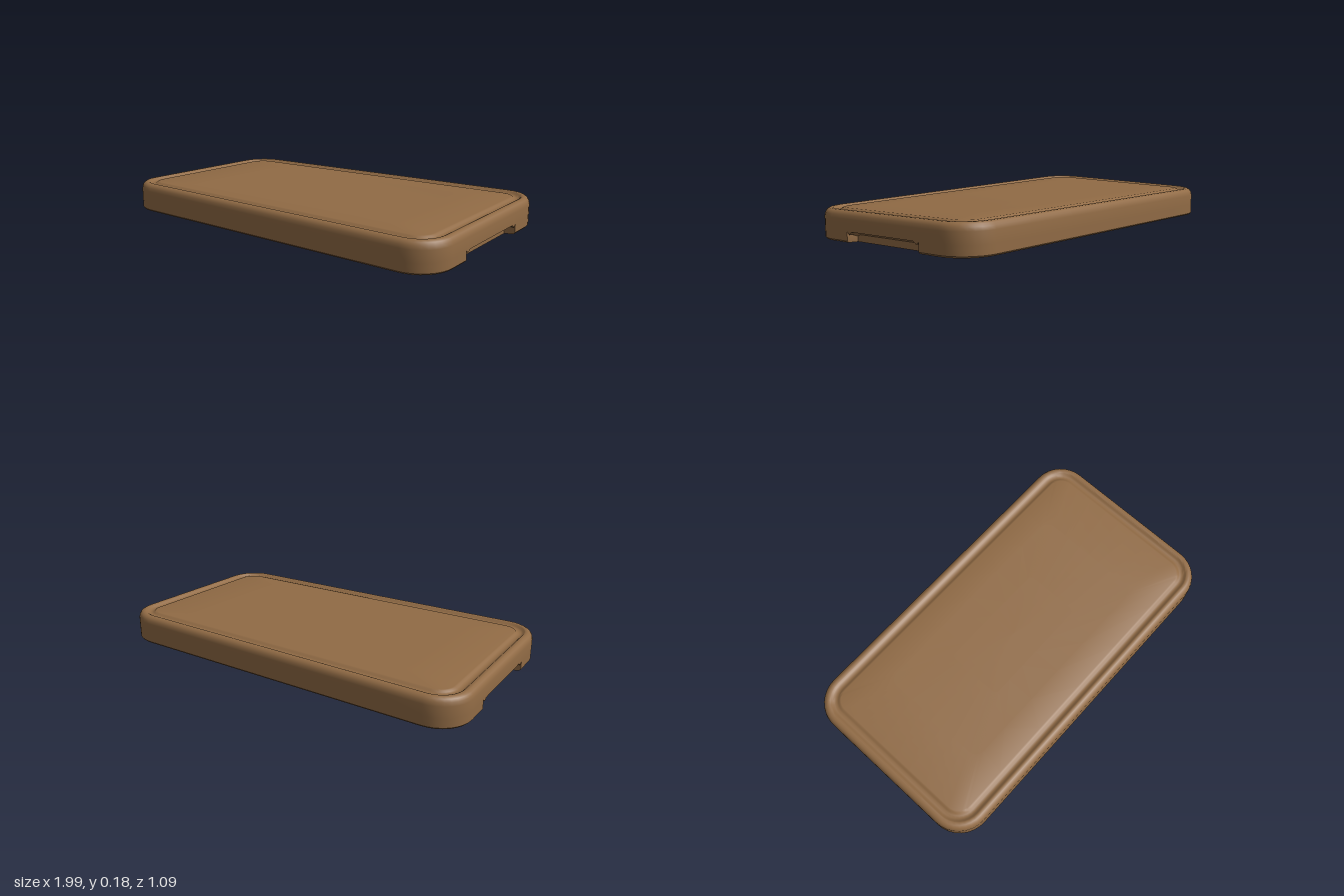
import * as THREE from 'three';
import { toCreasedNormals } from 'three/addons/utils/BufferGeometryUtils.js';

const HALF_X = 0.995, HALF_Z = 0.543, R = 0.17;
const CX = HALF_X - R, CZ = HALF_Z - R;

// Outline of the board: each point is a base position plus an outward direction
function outline() {
  const pts = [];
  const endZ = [-0.31, -0.25, -0.235, -0.215, -0.1, 0, 0.1, 0.215, 0.235, 0.25, 0.31];
  const sideX = [0.6, 0.3, 0, -0.3, -0.6];
  const corner = (sx, sz, start) => {
    for (let i = 0; i <= 8; i++) {
      const a = start + (i / 8) * Math.PI / 2;
      pts.push({ cx: sx * CX, cz: sz * CZ, nx: Math.cos(a), nz: Math.sin(a) });
    }
  };
  for (const s of [1, -1]) {
    endZ.forEach(z => pts.push({ cx: s * CX, cz: s * z, nx: s, nz: 0, end: true }));
    corner(s, s, s > 0 ? 0 : Math.PI);
    sideX.forEach(x => pts.push({ cx: s * x, cz: s * CZ, nx: 0, nz: s }));
    corner(-s, s, s > 0 ? Math.PI / 2 : Math.PI * 1.5);
  }
  return pts;
}

// Slight warp of the wood: height offset blended between the four corners
function warp(x, z) {
  const u = (x + 1) / 2, v = (z + HALF_Z) / (2 * HALF_Z);
  const back = 0.002 + u * 0.031, front = 0.013 - u * 0.012;
  return back * (1 - v) + front * v;
}

// Section from underside centre, up the wall, over the rim and groove to the top centre:
// [inset, height, scale, depth of finger notch (0..1)]
const SECTION = [
  [0.01, 0, 0, 0], [0.01, 0, 0.4, 0], [0.01, 0, 0.8, 0],
  [0.007, 0, 1, 1], [0, 0.008, 1, 1], [0, 0.035, 1, 1],
  [0, 0.046, 1, 0.75], [0, 0.051, 1, 0.3], [0, 0.053, 1, 0], [0, 0.112, 1, 0],
  [0.004, 0.13, 1, 0], [0.012, 0.142, 1, 0], [0.024, 0.149, 1, 0], [0.038, 0.15, 1, 0],
  [0.044, 0.147, 1, 0], [0.05, 0.14, 1, 0], [0.06, 0.136, 1, 0], [0.072, 0.136, 1, 0],
  [0.082, 0.14, 1, 0], [0.088, 0.146, 1, 0], [0.096, 0.148, 1, 0],
  [0.096, 0.148, 0.7, 0], [0.096, 0.148, 0.35, 0], [0.096, 0.148, 0, 0],
];

function boardGeometry() {
  const ring = outline(), n = ring.length, pos = [], idx = [];
  SECTION.forEach(([inset, height, scale, notch], i) => {
    ring.forEach((p, j) => {
      const az = Math.abs(p.cz);
      const inNotch = p.end && az < 0.24;
      const r = R - (inNotch && notch ? Math.max(inset, notch * 0.05) : inset);
      const x = (p.cx + p.nx * r) * scale, z = (p.cz + p.nz * r) * scale;
      // bevelled upper corners of the notch
      const y = inNotch && az > 0.22 && height < 0.06 ? height * 0.75 : height;
      pos.push(x, y + warp(x, z), z);
      if (i === SECTION.length - 1) return;
      const a = i * n + j, b = i * n + (j + 1) % n, c = b + n, d = a + n;
      if (i < SECTION.length - 2) idx.push(a, d, c);
      else idx.push(a, d, b);
      if (i > 0 && i < SECTION.length - 2) idx.push(a, c, b);
    });
  });
  const g = new THREE.BufferGeometry();
  g.setAttribute('position', new THREE.Float32BufferAttribute(pos, 3));
  g.setIndex(idx);
  return toCreasedNormals(g, 0.7);
}

export function createModel() {
  const wood = new THREE.MeshStandardMaterial({ color: 0x916b45 });
  wood.name = 'brown wood';
  const group = new THREE.Group();
  group.name = 'cuttingBoard';
  // One solid board with a juice groove and a finger notch under each end
  const board = new THREE.Mesh(boardGeometry(), wood);
  board.name = 'board';
  group.add(board);
  return group;
}
